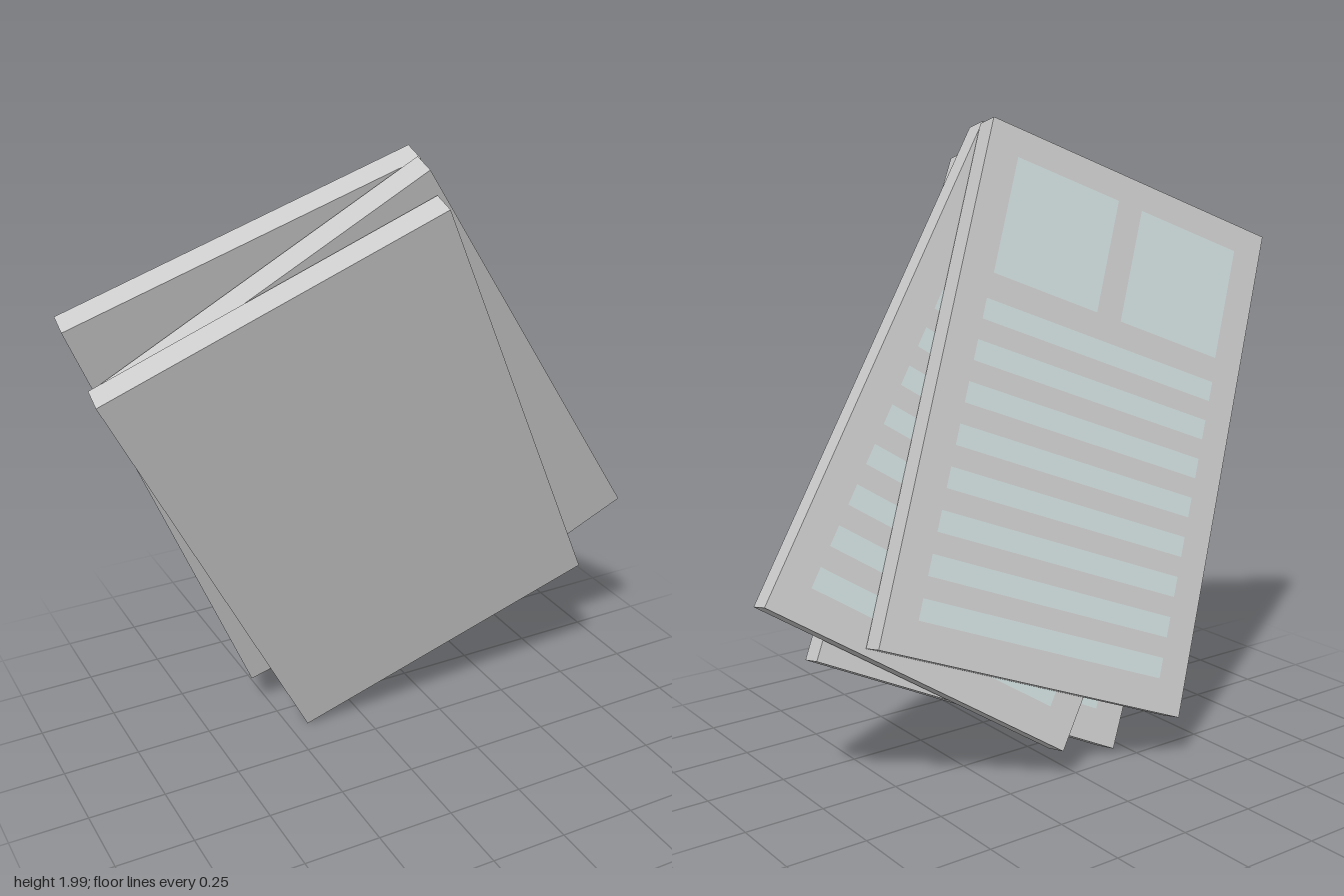
import * as THREE from 'three';

const W = 1.073, H = 1.618, T = 0.082;
const grey = new THREE.MeshStandardMaterial({ color: 0xcccccc });
const ink = new THREE.MeshStandardMaterial({ color: 0xcedbdb });

// Flat printed patch on the back; fractions run from the +x edge and from the top edge
function patch(name, a0, a1, b0, b1) {
  const mesh = new THREE.Mesh(new THREE.PlaneGeometry((a1 - a0) * W, (b1 - b0) * H), ink);
  mesh.name = name;
  mesh.rotation.y = Math.PI;
  mesh.position.set((0.5 - (a0 + a1) / 2) * W, (0.5 - (b0 + b1) / 2) * H, -T / 2 - 0.002);
  return mesh;
}

// One slab: plain box with two picture blocks and rows of text bars on its back
function newspaper(name) {
  const group = new THREE.Group();
  group.name = name;
  const slab = new THREE.Mesh(new THREE.BoxGeometry(W, H, T), grey);
  slab.name = 'slab';
  group.add(slab);
  group.add(patch('pictureLeft', 0.1, 0.455, 0.055, 0.285));
  group.add(patch('pictureRight', 0.54, 0.9, 0.055, 0.285));
  for (let i = 0; i < 8; i++) {
    const b = 0.335 + i * 0.08;
    group.add(patch('textLine' + (i + 1), 0.095, 0.905, b, b + 0.04));
  }
  return group;
}

export function createModel() {
  const model = new THREE.Group();
  model.name = 'paperStack';

  // All slabs lie in parallel planes; each is turned differently about the shared normal
  const normal = new THREE.Vector3(-0.068, -0.24, 0.968).normalize();
  const layers = [
    ['frontPaper', [-0.07, 0.95, 0.065], [0.96, 0.45, 0.20]],
    ['middlePaper', [0.043, 1.035, 0], [0.88, 0.58, 0.20]],
    ['backPaper', [-0.137, 1.066, -0.095], [0.98, 0.39, 0.15]],
  ];
  for (const [name, centre, across] of layers) {
    const paper = newspaper(name);
    const x = new THREE.Vector3(...across).projectOnPlane(normal).normalize();
    const y = new THREE.Vector3().crossVectors(normal, x);
    paper.quaternion.setFromRotationMatrix(new THREE.Matrix4().makeBasis(x, y, normal));
    paper.position.set(...centre);
    model.add(paper);
  }
  return model;
}
